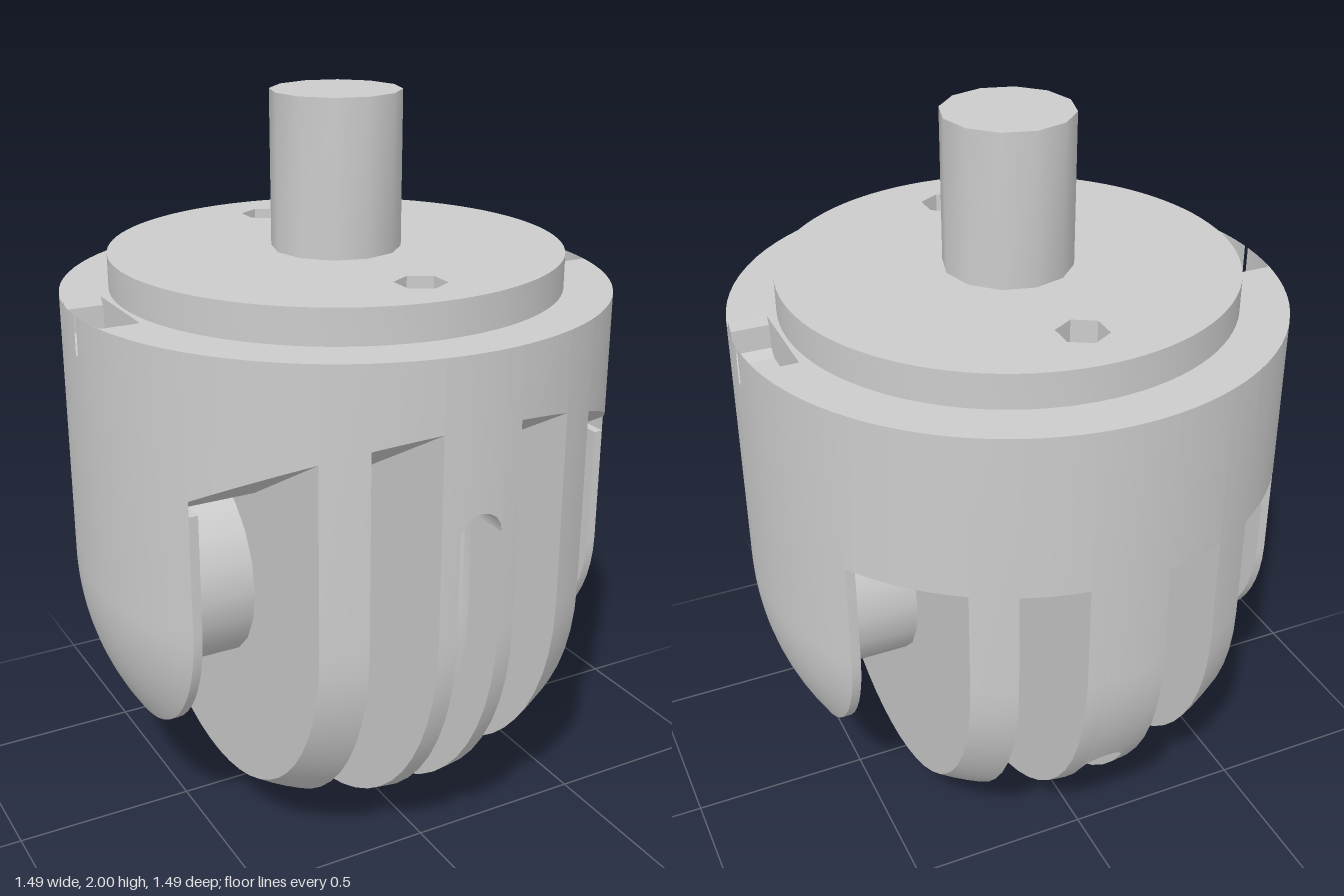
import * as THREE from 'three';
import { toCreasedNormals } from 'three/addons/utils/BufferGeometryUtils.js';

const R = 0.745;      // body radius, also the height of the round end's centre
const TOP = 1.49;     // rim of the body
const CEIL = 1.04;    // ceiling of the slots
const radiusAt = x => Math.sqrt(Math.max(R * R - x * x, 1e-6));
const steps = (a, b, n) => Array.from({ length: n + 1 }, (_, i) => a + (b - a) * i / n);

// Points [z, y] on an arc about the round end's centre; angle 0 is straight down
const arc = (r, a, b, n) => steps(a, b, n).map(t => [r * Math.sin(t), R - r * Math.cos(t)]);

// Solid from counter-clockwise [z, y] outlines at rising x positions
function loft(xs, outline) {
  const rows = xs.map(outline), n = rows[0].length, last = xs.length - 1;
  const pos = [];
  const put = (k, i) => pos.push(xs[k], rows[k][i][1], rows[k][i][0]);
  for (let k = 0; k < last; k++) {
    for (let i = 0; i < n; i++) {
      const j = (i + 1) % n;
      put(k, i); put(k + 1, j); put(k, j);
      put(k, i); put(k + 1, i); put(k + 1, j);
    }
  }
  for (const k of [0, last]) {
    const pts = rows[k].map(p => new THREE.Vector2(p[0], p[1]));
    for (const [a, b, c] of THREE.ShapeUtils.triangulateShape(pts, [])) {
      put(k, a);
      put(k, k ? c : b);
      put(k, k ? b : c);
    }
  }
  const g = new THREE.BufferGeometry();
  g.setAttribute('position', new THREE.Float32BufferAttribute(pos, 3));
  return toCreasedNormals(g, 0.5);
}

// Full U-shaped section
const finOutline = (r, top) => [[-r, top], ...arc(r, -Math.PI / 2, Math.PI / 2, 28), [r, top]];

// Section above a slot: flat ceiling that rises towards the front
function slotOutline(x) {
  const r = radiusAt(x);
  return [[-r, TOP], [-r, CEIL], [0.28, CEIL], [r, CEIL + 0.57 * (r - 0.28)], [r, TOP]];
}

// Cheek section with the rim notch
function cheekOutline(x) {
  const r = radiusAt(x);
  const half = [[0.14, TOP], [0.125, 1.47], [0.122, 1.405], [0.1, 1.385]];
  const notch = [...half, ...half.slice().reverse().map(([z, y]) => [-z, y])];
  return [...finOutline(r, TOP), ...notch.map(([z, y]) => [THREE.MathUtils.clamp(z, -r, r), y])];
}

// Centre web sections, shaped by a round-bottomed groove and two drilled holes
function webSize(x) {
  const s = Math.sqrt(Math.max(0.0036 - x * x, 0));
  return { r: radiusAt(x), s, h: 0.02 + 0.75 * s, floor: 0.61 - s };
}
function webFront(x) {
  const { r, s, h, floor } = webSize(x), z = 0.44 + h;
  return [[z, TOP], ...arc(floor, Math.asin(z / floor), Math.PI / 2, 8),
    [floor, 1.02 + s], [r, 1.02 + s], [r, TOP]];
}
function webMiddle(x) {
  const { h, floor } = webSize(x);
  return [[-0.44 + h, TOP],
    ...arc(floor, Math.asin((-0.53 + h) / floor), Math.asin((0.44 - h) / floor), 14),
    [0.44 - h, TOP]];
}
function webBack(x) {
  const { r, s, h } = webSize(x);
  return [[-r, TOP], ...arc(r, -Math.PI / 2, -1 - 1.4 * s, 6), [-0.53 - h, 0.5], [-0.44 - h, TOP]];
}

export function createModel() {
  const group = new THREE.Group();
  const material = new THREE.MeshStandardMaterial({ color: 0xcccccc });
  const add = (name, geometry, y = 0) => {
    const mesh = new THREE.Mesh(geometry, material);
    mesh.name = name;
    mesh.position.y = y;
    group.add(mesh);
    return mesh;
  };

  // Centre web between the two middle fins
  const webX = steps(-Math.PI / 2, Math.PI / 2, 8).map(t => 0.06 * Math.sin(t));
  add('centreWebFront', loft(webX, webFront));
  add('centreWebMiddle', loft(webX, webMiddle));
  add('centreWebBack', loft(webX, webBack));

  // Fins, slot roofs and cheeks on both sides
  for (const [side, s] of [['left', 1], ['right', -1]]) {
    const slab = (name, xs, outline) =>
      add(side + name, loft(xs.map(x => s * x).sort((a, b) => a - b), outline));
    const fin = x => finOutline(radiusAt(x), TOP);
    slab('InnerFin', steps(0.06, 0.11, 2), fin);
    slab('InnerSlotRoof', steps(0.11, 0.28, 4), slotOutline);
    slab('OuterFin', steps(0.28, 0.39, 3), fin);
    slab('OuterSlotRoof', steps(0.39, 0.625, 6), slotOutline);
    slab('CheekEdge', [0.6, 0.625], () => finOutline(radiusAt(0.625), 1.07));
    slab('Cheek', steps(Math.asin(0.625 / R), Math.PI / 2 - 0.01, 8).map(t => R * Math.sin(t)), cheekOutline);

    // Bar under the spindle in the inner slot
    add(side + 'SpindleBar', new THREE.BoxGeometry(0.17, 0.1, 0.2), 0.45).position.x = s * 0.195;
  }

  // Cross spindle running through the slots
  const spindle = new THREE.CylinderGeometry(0.27, 0.27, 1.24, 20);
  spindle.rotateZ(Math.PI / 2);
  add('spindle', spindle, 0.75);

  // Top disc with two small six-sided holes
  const disc = new THREE.Shape().absarc(0, 0, 0.614, 0, Math.PI * 2);
  for (const y of [-0.44, 0.44]) {
    const pts = steps(0, Math.PI * 5 / 3, 5).map(t =>
      new THREE.Vector2(0.068 * Math.sin(t), y + 0.068 * Math.cos(t)));
    disc.holes.push(new THREE.Path(pts));
  }
  const discGeometry = new THREE.ExtrudeGeometry(disc, { depth: 0.095, bevelEnabled: false, curveSegments: 48 });
  discGeometry.rotateX(-Math.PI / 2);
  add('topDisc', toCreasedNormals(discGeometry, 0.5), TOP);

  // Drive shaft
  const shaft = new THREE.CylinderGeometry(0.175, 0.175, 0.42, 12);
  add('shaft', toCreasedNormals(shaft, 0.6), 1.79);

  return group;
}
